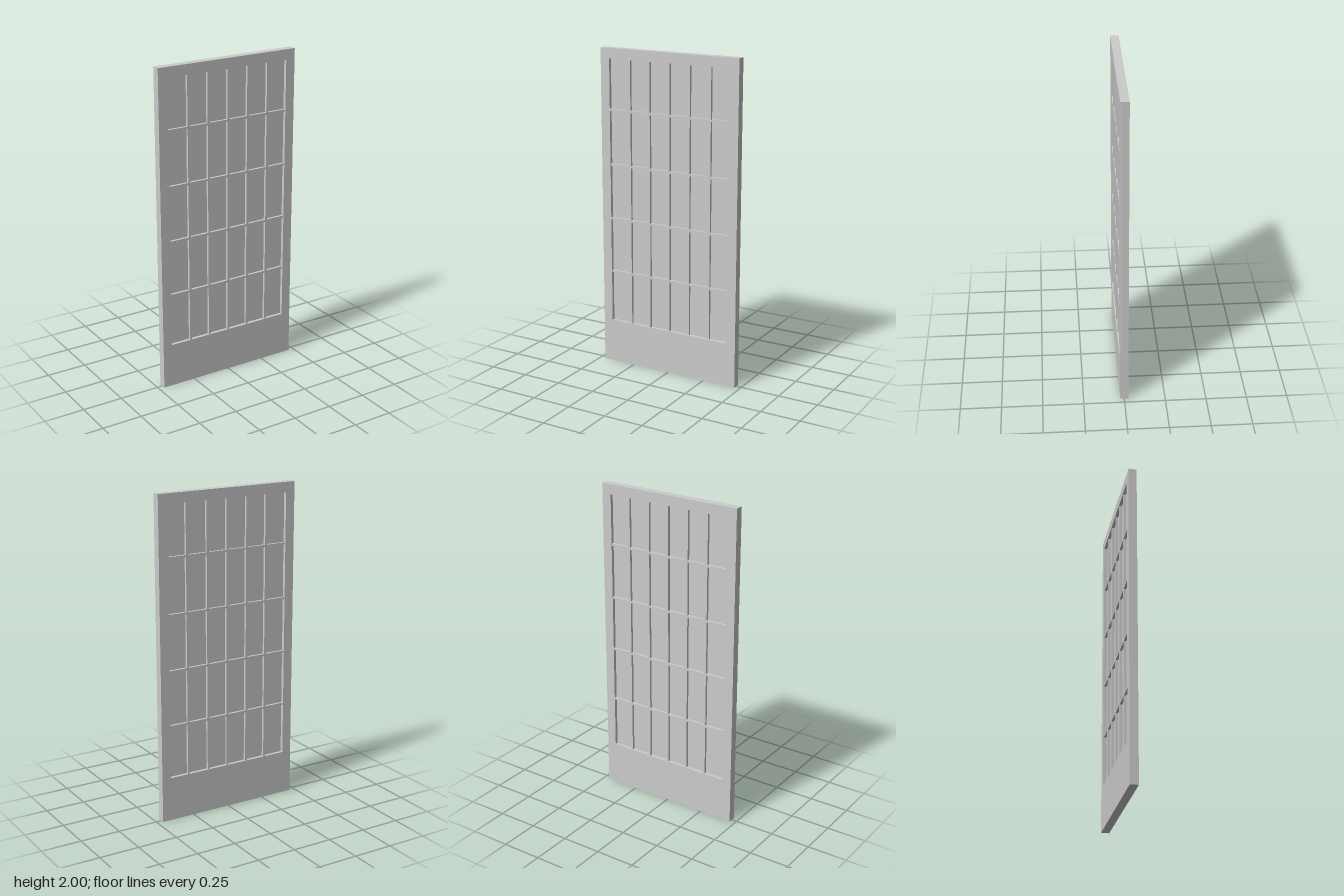
import * as THREE from 'three';

const material = new THREE.MeshStandardMaterial({ color: 0xcccccc, flatShading: true });

// Rectangle outline from two opposite corners
function rect(path, x0, y0, x1, y1) {
  path.moveTo(x0, y0);
  path.lineTo(x1, y0);
  path.lineTo(x1, y1);
  path.lineTo(x0, y1);
  path.closePath();
  return path;
}

// Flat slab with rectangular holes, centred on z = 0
function slab(name, outline, holes, depth) {
  const shape = rect(new THREE.Shape(), ...outline);
  for (const h of holes) shape.holes.push(rect(new THREE.Path(), ...h));
  const geometry = new THREE.ExtrudeGeometry(shape, { depth, bevelEnabled: false });
  geometry.translate(0, 0, -depth / 2);
  const mesh = new THREE.Mesh(geometry, material);
  mesh.name = name;
  return mesh;
}

export function createModel() {
  const door = new THREE.Group();
  door.name = 'glazedDoor';

  // Outer frame with a tall kick panel at the bottom
  const opening = [-0.405, 0.275, 0.405, 1.937];
  door.add(slab('doorFrame', [-0.465, 0, 0.465, 2], [opening], 0.05));

  // Glazing bars: one lattice with a hole for every pane
  const barsX = [-0.268, -0.133, 0.003, 0.139, 0.278];
  const barsY = [0.6, 0.943, 1.285, 1.626];
  const half = 0.007;
  const [left, bottom, right, top] = opening;
  const xs = [left - half, ...barsX, right + half];
  const ys = [bottom - half, ...barsY, top + half];
  const panes = [];
  for (let i = 0; i < xs.length - 1; i++) {
    for (let j = 0; j < ys.length - 1; j++) {
      panes.push([xs[i] + half, ys[j] + half, xs[i + 1] - half, ys[j + 1] - half]);
    }
  }
  // The lattice rim reaches slightly into the frame
  const rim = 0.004;
  door.add(slab('glazingBars', [left - rim, bottom - rim, right + rim, top + rim], panes, 0.042));

  // Thin glass sheet in the middle of the opening
  door.add(slab('glassSheet', [left - rim, bottom - rim, right + rim, top + rim], [], 0.01));

  return door;
}
